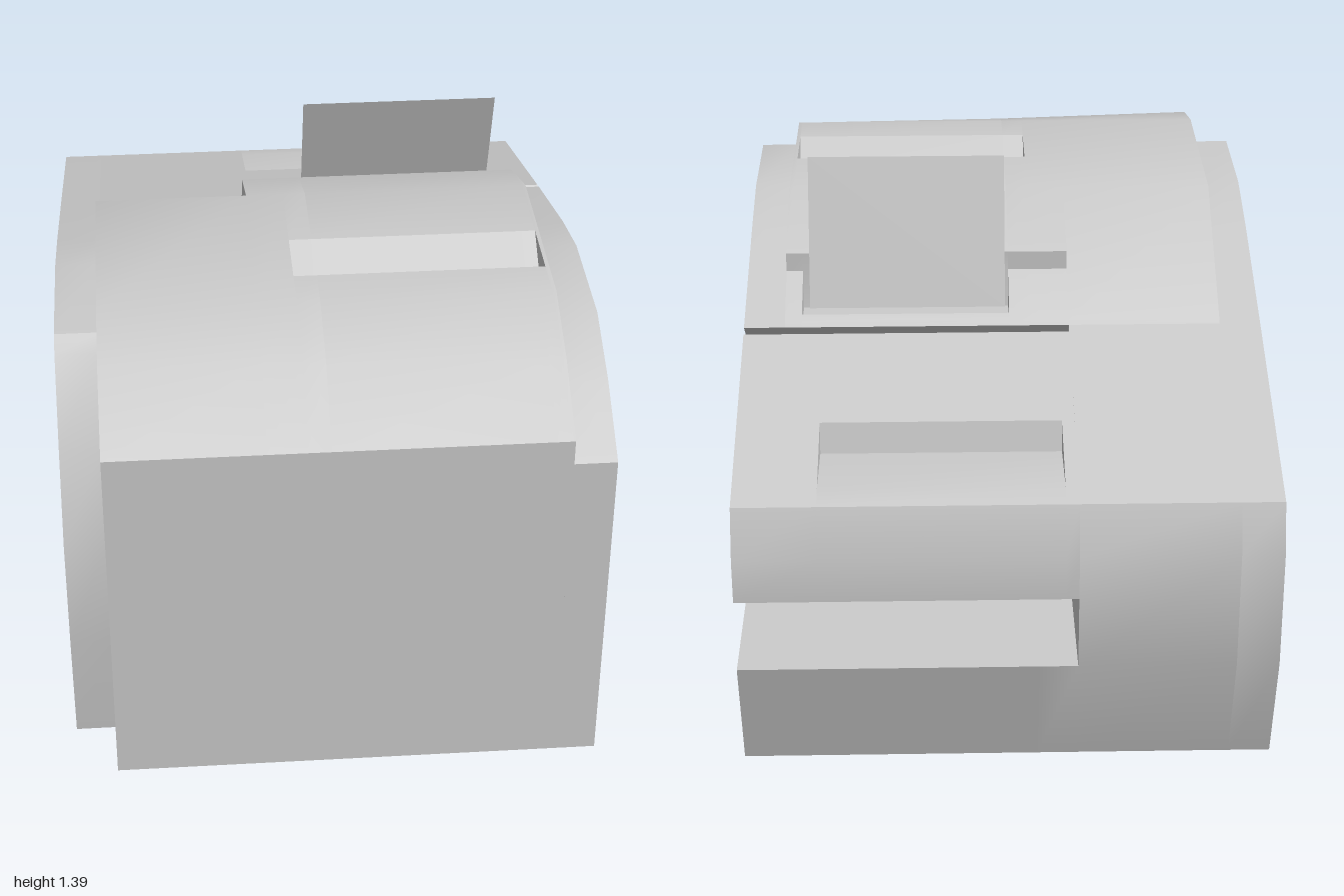
import * as THREE from 'three';
import { mergeGeometries, toCreasedNormals } from 'three/addons/utils/BufferGeometryUtils.js';

const material = new THREE.MeshStandardMaterial({ color: 0xcccccc });

// Extrude a side profile of [z, y] points from x0 to x1
function slab(x0, x1, profile) {
  const shape = new THREE.Shape(profile.map(([z, y]) => new THREE.Vector2(-z, y)));
  const geo = new THREE.ExtrudeGeometry(shape, { depth: x1 - x0, bevelEnabled: false });
  geo.rotateY(Math.PI / 2).translate(x0, 0, 0);
  // The shoulder of the front curve rises slightly towards -x
  const p = geo.attributes.position;
  for (let i = 0; i < p.count; i++) {
    if (Math.abs(p.getZ(i) - 0.81) < 0.005 && p.getY(i) > 1.1) {
      p.setY(i, 1.14 + 0.03 * (0.585 - p.getX(i)));
    }
  }
  return geo;
}

function part(name, slabs) {
  const mesh = new THREE.Mesh(toCreasedNormals(mergeGeometries(slabs), 0.55), material);
  mesh.name = name;
  return mesh;
}

// Rear outline, with or without the side slot
const solidRear = [[-0.32, 0.98], [-0.957, 0.78], [-1, 0.65], [-1, 0.33], [-0.905, 0]];
const slotRear = [[-0.32, 0.98], [-0.165, 0.84], [-0.075, 0.65], [-0.165, 0.33], [-1, 0.33], [-0.905, 0]];

// Cover and base in one section
function bodyProfile({ slot = true, grip = false, outlet = false }) {
  const pts = [[1, 0], [1, 1.02], [0.81, 1.14], [0.62, 1.22]];
  if (grip) pts.push([0.5, 1.22], [0.43, 1.14], [0.32, 1.22]);
  pts.push([0.08, 1.22]);
  if (slot) pts.push([-0.165, 1.13], [-0.165, 1.078]);
  if (outlet) pts.push([-0.18, 0.975], [-0.27, 0.975], [-0.29, 1.004]);
  pts.push([-0.31, 0.992]);
  return pts.concat(slot ? slotRear : solidRear);
}

// Rear flap above the slot
function flapProfile(grip) {
  const pts = [[-0.345, 0.972], [-0.185, 0.84], [-0.1, 0.65], [-0.18, 0.38],
    [-1, 0.53], [-1, 0.65], [-0.957, 0.78]];
  if (grip) pts.push([-0.9, 0.798], [-0.69, 0.79], [-0.67, 0.87]);
  return pts;
}

export function createModel() {
  const model = new THREE.Group();
  model.name = 'receiptPrinter';

  // Main housing, cut into sections where the recesses begin and end
  model.add(part('housing', [
    slab(-0.588, -0.18, bodyProfile({ slot: false })),
    slab(-0.18, -0.08, bodyProfile({})),
    slab(-0.08, -0.02, bodyProfile({ grip: true })),
    slab(-0.02, 0.54, bodyProfile({ grip: true, outlet: true })),
    slab(0.54, 0.575, bodyProfile({ grip: true })),
    slab(0.575, 0.585, bodyProfile({})),
  ]));

  // Lower side shoulder at +x
  model.add(part('leftShoulder', [
    slab(0.585, 0.695, [[1, 0], [1, 0.95], [0.81, 1.07], [0.62, 1.15], [0.29, 1.15],
      [0.08, 1.1], ...slotRear]),
  ]));

  // Side shoulder at -x with a set-back, bowed front
  model.add(part('rightShoulder', [
    slab(-0.698, -0.588, [[0.83, 0], [0.857, 0.33], [0.857, 0.65], [0.77, 0.9], [0.66, 1.115],
      [0.62, 1.15], [0.29, 1.15], [0.08, 1.1], ...solidRear]),
  ]));

  // Overhanging rear flap with its finger recess
  model.add(part('rearFlap', [
    slab(-0.18, -0.147, flapProfile(false)),
    slab(-0.147, 0.48, flapProfile(true)),
    slab(0.48, 0.695, flapProfile(false)),
  ]));

  // Paper sheet leaning out of the outlet
  const bottom = new THREE.Vector2(-0.24, 1.0), top = new THREE.Vector2(-0.113, 1.39);
  const sheet = new THREE.PlaneGeometry(0.53, bottom.distanceTo(top));
  sheet.rotateX(Math.atan2(top.x - bottom.x, top.y - bottom.y));
  const paper = new THREE.Mesh(sheet, new THREE.MeshStandardMaterial({ color: 0xcccccc, side: THREE.DoubleSide }));
  paper.position.set(0.255, (bottom.y + top.y) / 2, (bottom.x + top.x) / 2);
  paper.name = 'paper';
  model.add(paper);

  return model;
}
